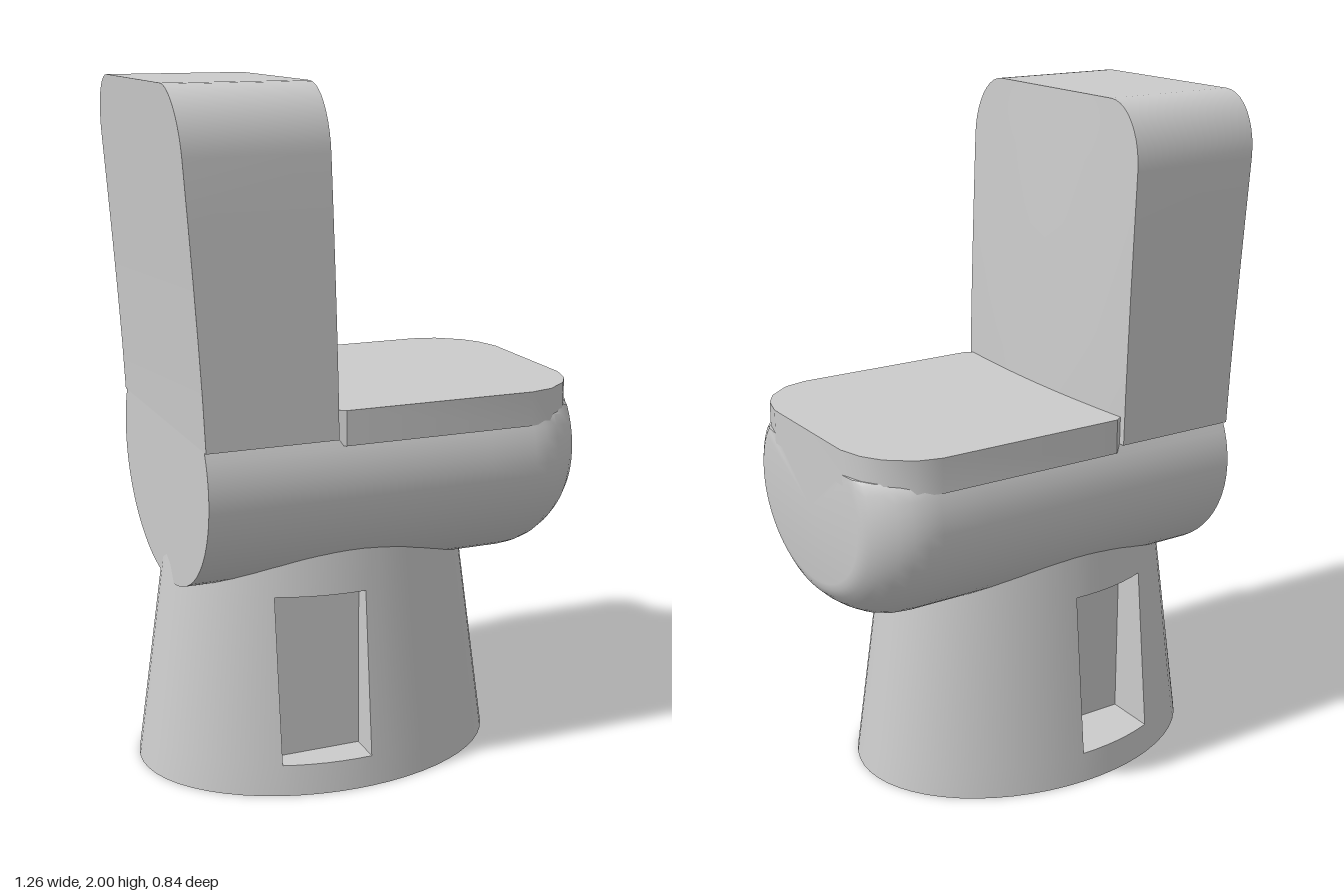
import * as THREE from 'three';
import { toCreasedNormals } from 'three/addons/utils/BufferGeometryUtils.js';

const grey = new THREE.MeshStandardMaterial({ color: 0xcccccc, side: THREE.DoubleSide });
const V = (x, y, z) => new THREE.Vector3(x, y, z);

// Skin a stack of closed rings, optionally capped, leaving out the quads skip() picks
function loft(rings, { caps = true, skip = () => false, crease = 0.6 } = {}) {
  const pos = [];
  const tri = (...pts) => pts.forEach((p) => pos.push(p.x, p.y, p.z));
  const n = rings[0].length;
  for (let i = 0; i < rings.length - 1; i++) {
    const a = rings[i], b = rings[i + 1];
    for (let j = 0; j < n; j++) {
      const k = (j + 1) % n;
      if (skip(i, j)) continue;
      tri(a[j], a[k], b[k]);
      tri(a[j], b[k], b[j]);
    }
  }
  if (caps) {
    const cap = (ring, flip) => {
      const c = ring.reduce((s, p) => s.add(p), V(0, 0, 0)).divideScalar(n);
      ring.forEach((p, j) => {
        const q = ring[(j + 1) % n];
        flip ? tri(c, q, p) : tri(c, p, q);
      });
    };
    cap(rings[0], true);
    cap(rings[rings.length - 1], false);
  }
  const g = new THREE.BufferGeometry();
  g.setAttribute('position', new THREE.Float32BufferAttribute(pos, 3));
  return toCreasedNormals(g, crease);
}

function add(parent, name, geometry) {
  const m = new THREE.Mesh(geometry, grey);
  m.name = name;
  parent.add(m);
  return m;
}

// Tapered oval pedestal with a rectangular recess on each side
function pedestal() {
  const g = new THREE.Group();
  g.name = 'pedestal';
  const cx = -0.085, x0 = -0.315, x1 = -0.055, y0 = 0.09, y1 = 0.58;
  const A = 14, B = 6, C = 10, half = A + B + C;
  const ring = (y) => {
    const rx = 0.545 - 0.14 * y, rz = 0.4 - 0.1 * y;
    const a1 = Math.acos((x1 - cx) / rx), a2 = Math.acos((x0 - cx) / rx);
    const angles = [];
    for (let i = 0; i < A; i++) angles.push((a1 * i) / A);
    for (let i = 0; i < B; i++) angles.push(a1 + ((a2 - a1) * i) / B);
    for (let i = 0; i <= C; i++) angles.push(a2 + ((Math.PI - a2) * i) / C);
    for (let i = half - 1; i > 0; i--) angles.push(2 * Math.PI - angles[i]);
    return angles.map((a) => V(cx + rx * Math.cos(a), y, -rz * Math.sin(a)));
  };
  const rings = [0, y0, y1, 0.85].map(ring);
  const inRecess = (j) => (j >= A && j < A + B) || (j >= 2 * half - A - B && j < 2 * half - A);
  add(g, 'pedestalShell', loft(rings, { skip: (i, j) => i === 1 && inRecess(j) }));

  // Recess walls run from the curved opening to a flat back
  [[A, -0.2, 'recessRear'], [2 * half - A - B, 0.29, 'recessFront']].forEach(([s, z, name]) => {
    const low = rings[1].slice(s, s + B + 1), high = rings[2].slice(s, s + B + 1).reverse();
    const mouth = [...low, ...high];
    const inner = mouth.map((p) => V(p.x, p.y, z));
    add(g, name + 'Walls', loft([inner, mouth].reverse(), { caps: false }));
    const back = add(g, name + 'Back', new THREE.PlaneGeometry(x1 - x0, y1 - y0));
    back.position.set((x0 + x1) / 2, (y0 + y1) / 2, z);
    if (z < 0) back.rotation.y = Math.PI;
  });
  return g;
}

// Horizontal oval bowl: flat back, rounded nose, top trimmed under the lid
function bowl() {
  const sections = [
    [-0.54, 1], [-0.1, 1], [0.3, 1], [0.44, 1], [0.48, 0.99], [0.52, 0.96],
    [0.555, 0.91], [0.585, 0.85], [0.61, 0.78], [0.622, 0.72], [0.625, 0.67],
  ];
  const rings = sections.map(([x, s]) => {
    const ring = [];
    for (let i = 0; i < 64; i++) {
      const a = (i / 64) * Math.PI * 2;
      ring.push(V(x, Math.min(1.06, 0.92 + 0.35 * s * Math.cos(a)), 0.42 * s * Math.sin(a)));
    }
    return ring;
  });
  return loft(rings);
}

// Flat lid with a rounded nose
function lid() {
  const side = [[-0.165, 0.385], [-0.14, 0.403], [0.43, 0.403], [0.5, 0.385],
    [0.57, 0.33], [0.605, 0.275], [0.626, 0.2]];
  const outline = [...side, ...side.map(([x, z]) => [x, -z]).reverse()];
  const shape = new THREE.Shape(outline.map(([x, z]) => new THREE.Vector2(x, z)));
  const g = new THREE.ExtrudeGeometry(shape, { depth: 0.1, bevelEnabled: false });
  g.rotateX(-Math.PI / 2).translate(0, 1.03, 0);
  return toCreasedNormals(g, 0.6);
}

// Tank: leans back as it rises, front bulges slightly, top corners rounded
function tank() {
  const rows = [1.05, 1.2, 1.35, 1.5, 1.65, 1.82].map((y) => [y, 0.405]);
  for (let i = 1; i <= 10; i++) {
    const a = (i / 10) * Math.PI / 2;
    rows.push([1.82 + 0.18 * Math.sin(a), 0.27 + 0.135 * Math.cos(a)]);
  }
  const rings = rows.map(([y, w]) => {
    const t = (y - 1.05) / 0.95;
    const back = -0.54 - 0.06 * Math.pow(t, 1.2);
    const edge = -0.162 - 0.03 * Math.pow(t, 1.3);
    const ring = [];
    for (let i = 0; i <= 10; i++) {
      const u = 1 - i / 5;
      ring.push(V(edge + 0.02 * (1 - t) * (1 - u * u), y, w * u));
    }
    ring.push(V(back, y, -w), V(back, y, w));
    return ring;
  });
  return loft(rings, { crease: 0.5 });
}

export function createModel() {
  const model = new THREE.Group();
  model.name = 'toilet';
  model.add(pedestal());
  add(model, 'bowl', bowl());
  add(model, 'lid', lid());
  add(model, 'tank', tank());
  return model;
}
